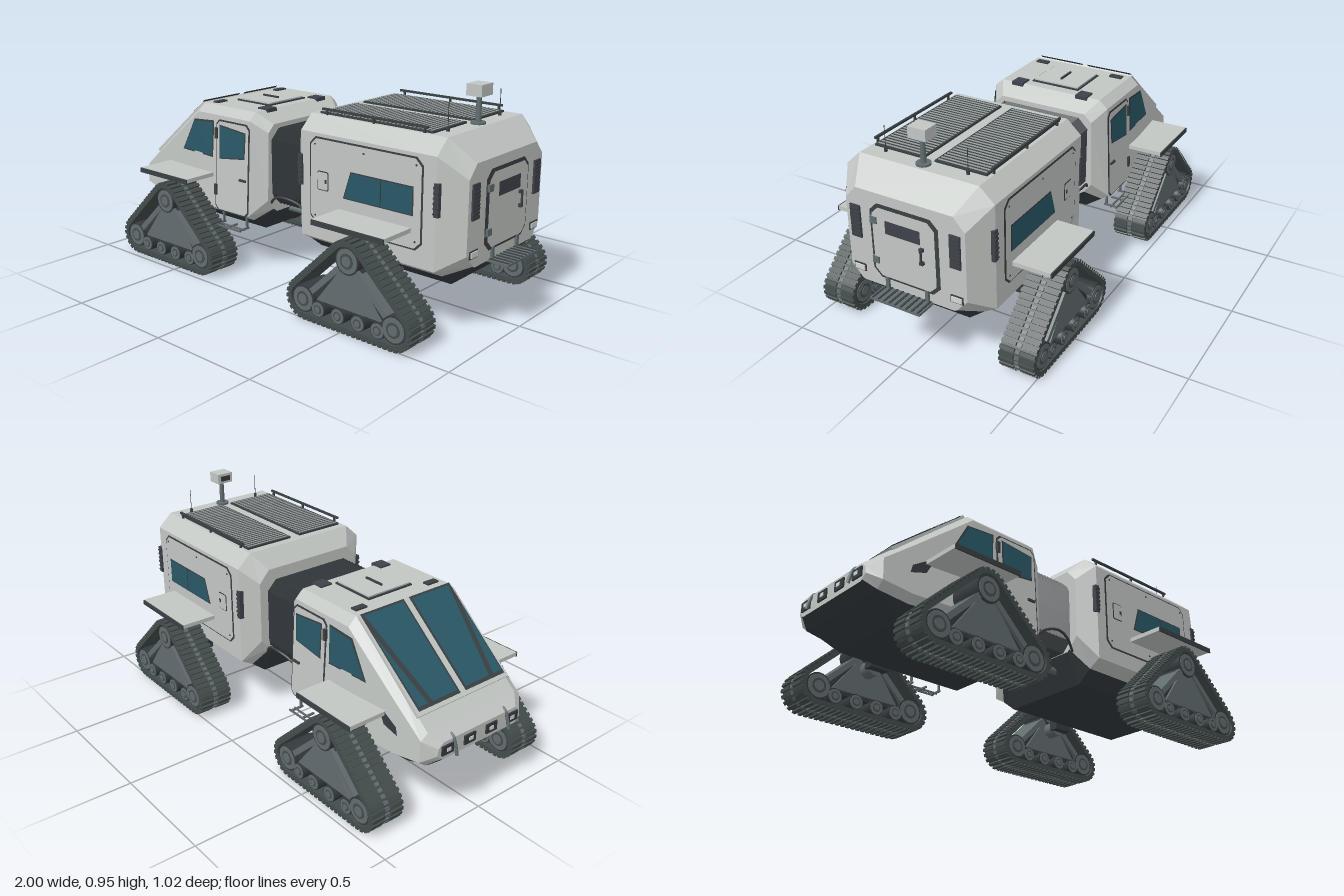
import * as THREE from 'three';
import { mergeGeometries } from 'three/addons/utils/BufferGeometryUtils.js';

const mat = (name, color, extra = {}) => {
  const m = new THREE.MeshStandardMaterial({ color, ...extra });
  m.name = name;
  return m;
};
const DS = { side: THREE.DoubleSide };
const body = mat('light grey paint', 0xc2c6c3, DS);
const hull = mat('dark hull', 0x343a3e, DS);
const rubber = mat('track rubber', 0x434c4c);
const metal = mat('gunmetal', 0x616c6f);
const trim = mat('dark trim', 0x3a4043, DS);
const smoke = mat('smoked grille', 0x3f424b, DS);
const glass = mat('tinted glass', 0x295866, DS);
const slat = mat('panel slat', 0x989e9d);
const lamp = mat('lamp lens', 0xd4d8d6);

const add = (parent, name, geo, material, x = 0, y = 0, z = 0) => {
  const m = new THREE.Mesh(geo, material);
  m.name = name;
  m.position.set(x, y, z);
  parent.add(m);
  return m;
};
const box = (p, name, m, x0, x1, y0, y1, z0, z1) =>
  add(p, name, new THREE.BoxGeometry(x1 - x0, y1 - y0, z1 - z0), m, (x0 + x1) / 2, (y0 + y1) / 2, (z0 + z1) / 2);
const cylZ = (r, len, n = 24) => new THREE.CylinderGeometry(r, r, len, n).rotateX(Math.PI / 2);
const tube = (pts, r) =>
  new THREE.TubeGeometry(new THREE.CatmullRomCurve3(pts.map(p => new THREE.Vector3(...p))), 20, r, 6);

// Ten-sided sections [x, then height and half width of roof edge, shoulder, sill, chine, keel] skinned along x
function loft(sections) {
  const rings = sections.map(([x, ...s]) => {
    const half = [0, 2, 4, 6, 8].map(i => [s[i], s[i + 1]]);
    return [...half.map(([y, z]) => [x, y, z]), ...half.reverse().map(([y, z]) => [x, y, -z])];
  });
  const upper = [], lower = [];
  for (let i = 0; i + 1 < rings.length; i++) {
    for (let k = 0; k < 10; k++) {
      const a = rings[i], b = rings[i + 1], n = (k + 1) % 10;
      (k >= 3 && k <= 5 ? lower : upper).push(a[k], a[n], b[n], a[k], b[n], b[k]);
    }
  }
  const first = rings[0], last = rings[rings.length - 1];
  for (let k = 1; k < 9; k++) upper.push(first[0], first[k + 1], first[k], last[0], last[k], last[k + 1]);
  const g = new THREE.BufferGeometry();
  g.setAttribute('position', new THREE.Float32BufferAttribute([...upper, ...lower].flat(), 3));
  g.addGroup(0, upper.length, 0);
  g.addGroup(upper.length, lower.length, 1);
  g.computeVertexNormals();
  return g;
}

// Thin face laid on a surface; map turns (u, v) into a point
function plate(p, name, m, pts, map) {
  const g = new THREE.ShapeGeometry(new THREE.Shape(pts.map(q => new THREE.Vector2(...q))));
  const pos = g.attributes.position;
  for (let i = 0; i < pos.count; i++) pos.setXYZ(i, ...map(pos.getX(i), pos.getY(i)));
  g.computeVertexNormals();
  return add(p, name, g, m);
}
const oct = (x0, x1, y0, y1, c) => [[x0 + c, y0], [x1 - c, y0], [x1, y0 + c], [x1, y1 - c],
  [x1 - c, y1], [x0 + c, y1], [x0, y1 - c], [x0, y0 + c]];

// Cab surfaces
const cabSide = (x, y) => 0.312 - 0.055 * (y - 0.28) - Math.max(0, -0.53 - x) * 0.08;
const slope = x => 0.74 + 0.825 * (x + 0.53);
const onCab = o => (x, y) => [x, y, cabSide(x, y) + o];
const onSlope = o => (x, v) => [x, slope(x) + o, -v];
const onRear = o => (u, v) => [0.91 + o, v, -u];
const onPod = o => (x, y) => [x, y, 0.335 + o];

// Rounded triangular outline shared by belt, its hole and the lugs
function trackShape(r, Type = THREE.Shape) {
  const s = new Type(), a = 0.808;
  s.absarc(0.225, 0.091, r, -Math.PI / 2, a);
  s.absarc(0, 0.306, r, a, Math.PI - a);
  s.absarc(-0.225, 0.091, r, Math.PI - a, Math.PI * 1.5);
  s.closePath();
  return s;
}

function makeTrack(x, z) {
  const t = new THREE.Group();
  t.name = 'trackUnit';
  t.position.set(x, 0, z);
  const W = 0.156;
  const s = trackShape(0.077);
  s.holes.push(trackShape(0.06, THREE.Path));
  add(t, 'trackBelt', new THREE.ExtrudeGeometry(s, { depth: W, bevelEnabled: false, curveSegments: 10 }), rubber, 0, 0, -W / 2);
  // tread lugs on both sides of a metal guide row
  const N = 62, pts = trackShape(0.079).getSpacedPoints(N);
  const lugRow = (w, h, off) => pts.slice(0, N).map((a, i) => {
    const b = pts[(i + 1) % N];
    return new THREE.BoxGeometry(0.015, h, w)
      .rotateZ(Math.atan2(b.y - a.y, b.x - a.x)).translate((a.x + b.x) / 2, (a.y + b.y) / 2, off);
  });
  add(t, 'treadLugs', mergeGeometries([...lugRow(0.064, 0.017, -0.046), ...lugRow(0.064, 0.017, 0.046)]), rubber);
  add(t, 'trackGuides', mergeGeometries(lugRow(0.02, 0.011, 0)), metal);
  // suspension frame
  const tri = (k, d) => new THREE.ExtrudeGeometry(
    new THREE.Shape([[-0.2, 0.085], [0.2, 0.085], [0.035, 0.3], [-0.035, 0.3]]
      .map(([u, v]) => new THREE.Vector2(u * k, 0.17 + (v - 0.17) * k))), { depth: d, bevelEnabled: false });
  add(t, 'trackFrame', tri(1, 0.11), hull, 0, 0, -0.055);
  add(t, 'framePanel', tri(0.8, 0.13), metal, 0, 0, -0.065);
  for (const q of [-1, 1]) {
    const arm = box(t, 'frameArm', metal, -0.125, 0.125, -0.012, 0.012, -0.07, 0.07);
    arm.position.set(q * 0.115, 0.198, 0);
    arm.rotation.z = -q * 0.763;
  }
  // sprocket, idlers and road wheels
  const wheel = (u, v, r) => {
    add(t, 'wheelRim', cylZ(r, 0.144), hull, u, v);
    add(t, 'wheelDisc', cylZ(r * 0.88, 0.148), metal, u, v);
    add(t, 'wheelRecess', cylZ(r * 0.55, 0.151), rubber, u, v);
    add(t, 'wheelHub', cylZ(r * 0.38, 0.156, 12), metal, u, v);
  };
  wheel(0, 0.306, 0.057);
  for (const u of [-0.225, 0.225]) wheel(u, 0.091, 0.057);
  for (const u of [-0.147, -0.046, 0.054, 0.15]) wheel(u, 0.066, 0.034);
  // axle and gear housing toward the hull
  add(t, 'axle', cylZ(0.036, 0.1), metal, 0, 0.218, -0.075);
  box(t, 'gearHousing', hull, -0.045, 0.045, 0.2, 0.265, -0.16, -0.115);
  return t;
}

// Everything on the +z side; used again mirrored
function makeSide() {
  const g = new THREE.Group();
  g.name = 'sideParts';
  g.add(makeTrack(-0.585, 0.391), makeTrack(0.53, 0.433));
  for (const [x0, x1, z0, z1] of [[-0.75, -0.43, 0.28, 0.468], [0.35, 0.705, 0.32, 0.51]]) {
    box(g, 'fender', body, x0, x1, 0.418, 0.436, z0, z1 - 0.006);
    box(g, 'fenderEdge', trim, x0, x1, 0.414, 0.435, z1 - 0.006, z1);
  }
  plate(g, 'intakeStrip', hull, [[-0.82, 0.36], [-0.75, 0.38], [-0.725, 0.425], [-0.745, 0.435], [-0.81, 0.395]], onCab(0.005));
  // cab door and windows
  plate(g, 'cabWindowFrame', trim, [[-0.644, 0.512], [-0.558, 0.668], [-0.424, 0.678], [-0.43, 0.508]], onCab(0.003));
  plate(g, 'cabWindow', glass, [[-0.634, 0.52], [-0.553, 0.66], [-0.43, 0.67], [-0.436, 0.516]], onCab(0.006));
  plate(g, 'cabDoorSeam', trim, oct(-0.41, -0.195, 0.268, 0.688, 0.02), onCab(0.003));
  plate(g, 'cabDoor', body, oct(-0.403, -0.202, 0.275, 0.681, 0.018), onCab(0.006));
  plate(g, 'doorWindowFrame', trim, [[-0.383, 0.51], [-0.221, 0.531], [-0.216, 0.65], [-0.383, 0.666]], onCab(0.008));
  plate(g, 'doorWindow', glass, [[-0.377, 0.516], [-0.227, 0.537], [-0.222, 0.644], [-0.377, 0.66]], onCab(0.01));
  box(g, 'doorHandle', trim, -0.25, -0.21, 0.43, 0.44, 0.3, 0.317);
  for (const y of [0.34, 0.6]) box(g, 'doorHinge', trim, -0.41, -0.395, y, y + 0.05, 0.27, cabSide(0, y) + 0.012);
  // boarding step
  for (const z of [0.315, 0.34]) box(g, 'stepBar', metal, -0.39, -0.22, 0.205, 0.213, z, z + 0.006);
  for (const x of [-0.385, -0.31, -0.235]) box(g, 'stepRung', metal, x, x + 0.008, 0.205, 0.213, 0.28, 0.345);
  for (const x of [-0.385, -0.235]) box(g, 'stepHanger', metal, x, x + 0.008, 0.205, 0.27, 0.285, 0.295);
  // pod side panel, window, hatch and vents
  plate(g, 'podPanelSeam', trim, oct(0.195, 0.755, 0.35, 0.716, 0.03), onPod(0.002));
  plate(g, 'podPanel', body, oct(0.202, 0.748, 0.357, 0.709, 0.028), onPod(0.005));
  for (const x of [0.225, 0.475, 0.725]) {
    for (const y of [0.385, 0.685]) add(g, 'panelBolt', cylZ(0.004, 0.008, 8), trim, x, y, 0.339);
  }
  plate(g, 'podWindowFrame', trim, [[0.373, 0.485], [0.411, 0.601], [0.715, 0.601], [0.715, 0.485]], onPod(0.007));
  plate(g, 'podWindow', glass, [[0.38, 0.49], [0.415, 0.596], [0.71, 0.596], [0.71, 0.49]], onPod(0.009));
  box(g, 'windowDivider', trim, 0.56, 0.564, 0.49, 0.596, 0.34, 0.346);
  plate(g, 'hatchSeam', trim, oct(0.238, 0.298, 0.497, 0.578, 0.006), onPod(0.007));
  plate(g, 'hatch', body, oct(0.242, 0.294, 0.501, 0.574, 0.005), onPod(0.009));
  box(g, 'hatchLatch', trim, 0.28, 0.288, 0.53, 0.545, 0.34, 0.347);
  for (const x of [0.132, 0.803]) {
    box(g, 'sideVent', smoke, x, x + 0.023, 0.5, 0.63, 0.31, 0.341);
    for (let i = 0; i < 6; i++) box(g, 'ventSlat', trim, x, x + 0.023, 0.51 + i * 0.02, 0.517 + i * 0.02, 0.32, 0.345);
  }
  // windshield half
  plate(g, 'windshieldFrame', trim, [[-0.876, -0.014], [-0.543, -0.014], [-0.543, -0.242], [-0.876, -0.236]], onSlope(0.019));
  plate(g, 'windshield', glass, [[-0.866, -0.024], [-0.552, -0.024], [-0.552, -0.228], [-0.866, -0.155]], onSlope(0.022));
  plate(g, 'cornerPane', glass, [[-0.866, -0.18], [-0.61, -0.238], [-0.866, -0.228]], onSlope(0.022));
  // cab roof fittings and nose
  box(g, 'roofVent', smoke, -0.245, -0.185, 0.73, 0.747, 0.135, 0.192);
  box(g, 'roofLight', trim, -0.5, -0.47, 0.735, 0.747, 0.165, 0.225);
  for (const z of [0.06, 0.18]) {
    box(g, 'lampHousing', hull, -0.982, -0.96, 0.32, 0.36, z - 0.03, z + 0.03);
    box(g, 'headlamp', lamp, -0.985, -0.978, 0.333, 0.348, z - 0.014, z + 0.008);
  }
  add(g, 'towHook', tube([[-0.955, 0.385, 0.145], [-0.972, 0.375, 0.145], [-0.985, 0.345, 0.145], [-0.995, 0.305, 0.145]], 0.007), metal);
  // solar panel and roof rail
  box(g, 'solarPanel', trim, 0.18, 0.735, 0.785, 0.798, 0.025, 0.255);
  for (let i = 0; i < 28; i++) box(g, 'solarSlat', slat, 0.19 + i * 0.0195, 0.198 + i * 0.0195, 0.79, 0.8, 0.032, 0.248);
  box(g, 'roofRail', trim, 0.2, 0.72, 0.809, 0.818, 0.26, 0.27);
  for (const x of [0.22, 0.46, 0.7]) box(g, 'railPost', trim, x, x + 0.008, 0.78, 0.812, 0.261, 0.269);
  add(g, 'antenna', new THREE.CylinderGeometry(0.0015, 0.0015, 0.11, 6), trim, 0.755, 0.845, 0.187);
  add(g, 'antennaBase', new THREE.CylinderGeometry(0.007, 0.007, 0.02, 8), trim, 0.755, 0.797, 0.187);
  // rear vents and lamps
  box(g, 'rearVent', smoke, 0.89, 0.917, 0.485, 0.625, 0.203, 0.25);
  for (let i = 0; i < 8; i++) box(g, 'rearVentSlat', trim, 0.9, 0.92, 0.492 + i * 0.016, 0.5 + i * 0.016, 0.205, 0.248);
  box(g, 'tailLampFrame', trim, 0.88, 0.914, 0.333, 0.365, 0.198, 0.254);
  box(g, 'tailLamp', lamp, 0.89, 0.918, 0.338, 0.36, 0.203, 0.249);
  box(g, 'stepBracket', metal, 0.89, 0.92, 0.29, 0.345, 0.085, 0.1);
  // articulation hose
  add(g, 'hose', tube([[-0.14, 0.33, 0.23], [-0.09, 0.37, 0.25], [-0.025, 0.385, 0.262], [0.04, 0.37, 0.25], [0.09, 0.33, 0.23]], 0.006), trim);
  return g;
}

export function createModel() {
  const model = new THREE.Group();
  model.name = 'trackedExplorer';

  // front cab
  const cab = (x, yt, wt, ys, yl, ym, yb, wb) =>
    [x, yt, wt, ys, cabSide(x, ys), yl, cabSide(x, yl), ym, cabSide(x, yl) - 0.035, yb, wb];
  add(model, 'cab', loft([
    [-0.975, 0.375, 0.2, 0.355, 0.225, 0.325, 0.23, 0.305, 0.21, 0.3, 0.2],
    cab(-0.93, 0.41, 0.24, 0.385, 0.295, 0.268, 0.262, 0.22),
    cab(-0.8, slope(-0.8), 0.245, 0.487, 0.275, 0.248, 0.2, 0.2),
    cab(-0.53, 0.74, 0.25, 0.705, 0.275, 0.25, 0.195, 0.2),
    cab(-0.2, 0.74, 0.25, 0.705, 0.275, 0.25, 0.195, 0.2),
    [-0.13, 0.69, 0.21, 0.655, 0.245, 0.35, 0.255, 0.305, 0.22, 0.29, 0.2],
  ]), [body, hull]);
  const slab = box(model, 'windshieldSlab', body, -0.22, 0.22, -0.01, 0.012, -0.248, 0.248);
  slab.position.set(-0.71, slope(-0.71), 0);
  slab.rotation.z = Math.atan(0.825);

  // rear pod
  add(model, 'pod', loft([
    [0.08, 0.72, 0.22, 0.665, 0.268, 0.39, 0.268, 0.34, 0.22, 0.33, 0.21],
    [0.145, 0.79, 0.27, 0.73, 0.335, 0.283, 0.335, 0.25, 0.278, 0.197, 0.21],
    [0.81, 0.79, 0.27, 0.73, 0.335, 0.283, 0.335, 0.25, 0.278, 0.197, 0.21],
    [0.91, 0.7, 0.22, 0.645, 0.27, 0.35, 0.27, 0.298, 0.222, 0.292, 0.212],
  ]), [body, hull]);

  // bellows between the two bodies
  const folds = [];
  for (let i = 0; i <= 22; i++) {
    const d = i % 2 ? 0.015 : 0;
    folds.push([-0.135 + i * 0.01, 0.675 - d, 0.19 - d, 0.63 - d, 0.235 - d, 0.5, 0.235 - d,
      0.37 + d, 0.235 - d, 0.325 + d, 0.19 - d]);
  }
  add(model, 'bellows', loft(folds), [hull, hull]);

  // hitch
  box(model, 'hitchBeam', hull, -0.2, 0.15, 0.268, 0.3, -0.06, 0.06);
  add(model, 'hitchPivot', new THREE.CylinderGeometry(0.045, 0.035, 0.07, 16), metal, -0.025, 0.275, 0);
  for (const z of [-0.1, 0.1]) add(model, 'steeringRam', new THREE.CylinderGeometry(0.015, 0.015, 0.3, 12).rotateZ(Math.PI / 2), metal, -0.02, 0.28, z);

  const left = makeSide(), right = makeSide();
  right.scale.z = -1;
  model.add(left, right);

  // cab roof hatch
  box(model, 'roofHatchSeam', trim, -0.454, -0.246, 0.735, 0.746, -0.118, 0.118);
  box(model, 'roofHatch', body, -0.445, -0.255, 0.74, 0.752, -0.11, 0.11);
  box(model, 'roofHatchHandle', trim, -0.4, -0.305, 0.752, 0.76, -0.004, 0.004);

  // camera mast
  add(model, 'mastBase', new THREE.CylinderGeometry(0.03, 0.03, 0.018, 16), metal, 0.77, 0.79, 0);
  add(model, 'mast', new THREE.CylinderGeometry(0.01, 0.012, 0.12, 12), metal, 0.77, 0.85, 0);
  box(model, 'cameraHead', body, 0.735, 0.805, 0.903, 0.95, -0.04, 0.04);
  box(model, 'cameraLens', hull, 0.73, 0.74, 0.915, 0.938, -0.025, 0.025);

  // rear door and step
  plate(model, 'rearDoorFrame', trim, oct(-0.156, 0.156, 0.335, 0.66, 0.035), onRear(0.004));
  plate(model, 'rearDoor', body, oct(-0.142, 0.142, 0.348, 0.647, 0.03), onRear(0.01));
  plate(model, 'rearDoorWindow', smoke, oct(-0.08, 0.08, 0.545, 0.602, 0.002), onRear(0.014));
  for (const y of [0.4, 0.575]) box(model, 'rearHinge', metal, 0.905, 0.925, y, y + 0.028, 0.12, 0.15);
  box(model, 'rearHandle', trim, 0.928, 0.935, 0.465, 0.53, -0.088, -0.082);
  for (const y of [0.463, 0.52]) box(model, 'handleMount', trim, 0.91, 0.933, y, y + 0.013, -0.093, -0.077);
  box(model, 'rearStep', metal, 0.9, 1, 0.286, 0.295, -0.115, 0.115);
  for (let i = 0; i < 9; i++) box(model, 'rearStepRib', trim, 0.905, 0.998, 0.29, 0.298, -0.108 + i * 0.026, -0.1 + i * 0.026);
  return model;
}
